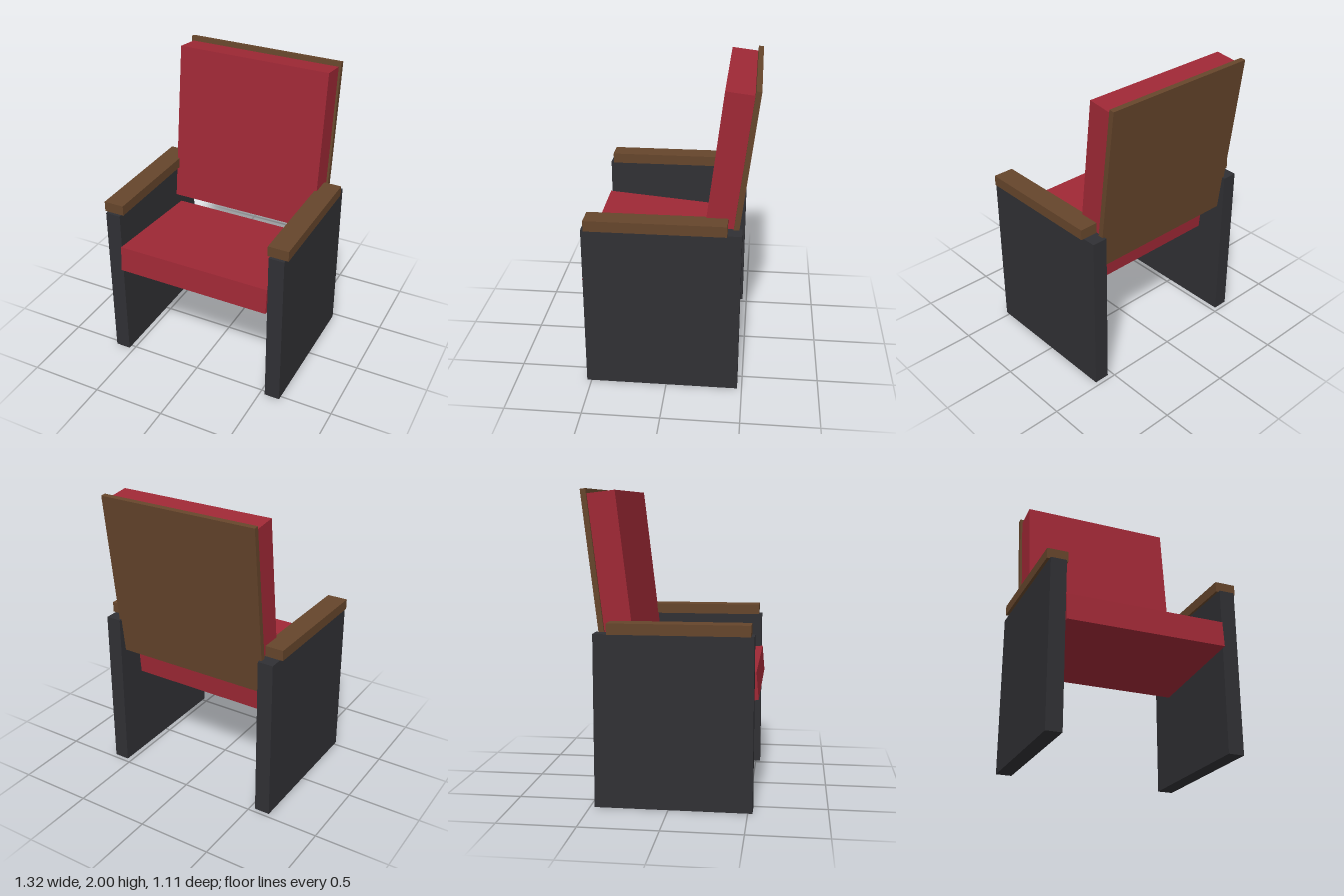
import * as THREE from 'three';

const red = new THREE.MeshStandardMaterial({ color: 0x9e2835 });
const wood = new THREE.MeshStandardMaterial({ color: 0x65452b });
const dark = new THREE.MeshStandardMaterial({ color: 0x303034 });

// Box given by its size and centre
function box(name, material, size, centre) {
  const mesh = new THREE.Mesh(new THREE.BoxGeometry(...size), material);
  mesh.name = name;
  mesh.position.set(...centre);
  return mesh;
}

// Group that leans back about its lower front edge
function leaning(name, y, z, angle, ...parts) {
  const group = new THREE.Group();
  group.name = name;
  group.position.set(0, y, z);
  group.rotation.x = -angle;
  group.add(...parts);
  return group;
}

export function createModel() {
  const chair = new THREE.Group();
  chair.name = 'armchair';

  // Side panels with wooden armrests
  for (const [side, s] of [['left', 1], ['right', -1]]) {
    chair.add(
      box(side + 'SidePanel', dark, [0.105, 1.11, 1.0], [s * 0.5875, 0.555, 0.03]),
      box(side + 'Armrest', wood, [0.14, 0.07, 0.89], [s * 0.589, 1.145, 0.065]),
    );
  }

  // Seat cushion, tilted with its front edge raised
  chair.add(leaning('seat', 0.7, 0.555, 0.087,
    box('seatCushion', red, [1.07, 0.176, 0.82], [0, 0.088, -0.41])));

  // Reclined back cushion on a thin wooden board
  chair.add(leaning('backrest', 0.895, -0.21, 0.119,
    box('backCushion', red, [1.07, 1.103, 0.178], [0, 0.5515, -0.089]),
    box('backBoard', wood, [1.1, 1.134, 0.035], [0, 0.567, -0.1955])));

  return chair;
}
